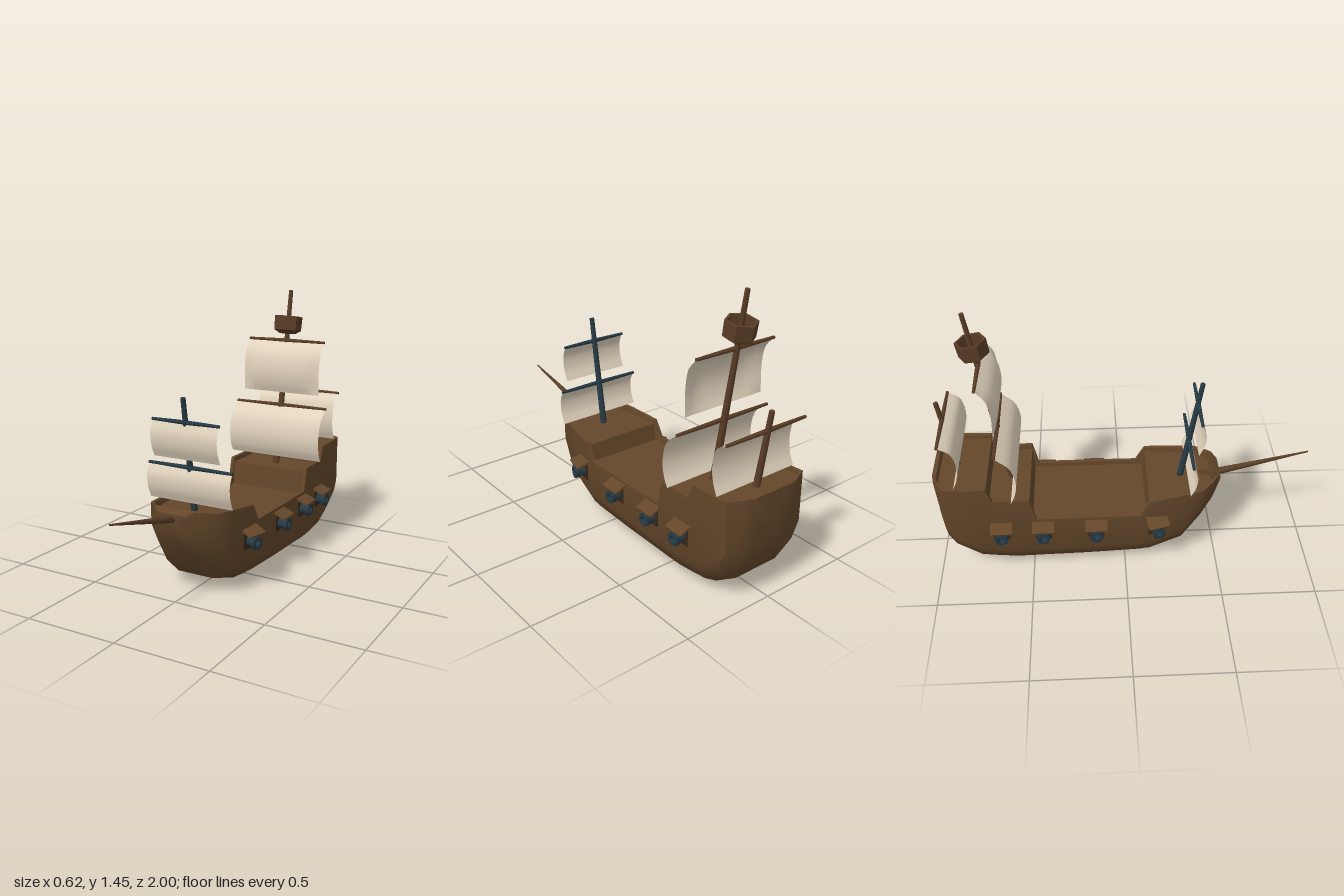
import * as THREE from 'three';
import { toCreasedNormals } from 'three/addons/utils/BufferGeometryUtils.js';

const mat = (name, color, side = THREE.FrontSide) => {
  const m = new THREE.MeshStandardMaterial({ color, side });
  m.name = name;
  return m;
};

export function createModel() {
  const wood = mat('hull wood', 0x64472a);
  const spar = mat('spar wood', 0x5a3d26);
  const shade = mat('port shade', 0x38271a);
  const iron = mat('dark slate', 0x263a44);
  const cloth = mat('sail cloth', 0xe0d2bc, THREE.DoubleSide);

  const ship = new THREE.Group();
  ship.name = 'sailingShip';
  const add = (name, geo, material, parent = ship) => {
    const m = new THREE.Mesh(geo, material);
    m.name = name;
    parent.add(m);
    return m;
  };

  // Hull stations, bow to stern: [z, keel, rail, half width, half keel width, deck]
  const stations = [
    [0.52, 0.44, 0.465, 0.08, 0.05, 0.465],
    [0.49, 0.34, 0.485, 0.115, 0.06, 0.485],
    [0.475, 0.31, 0.48, 0.135, 0.07, 0.43],
    [0.41, 0.22, 0.465, 0.195, 0.09, 0.43],
    [0.31, 0.08, 0.457, 0.215, 0.1, 0.425],
    [0.13, 0.02, 0.44, 0.24, 0.12, 0.42],
    [0.115, 0.02, 0.415, 0.24, 0.12, 0.325],
    [0.08, 0.018, 0.35, 0.243, 0.125, 0.325],
    [-0.2, 0.008, 0.35, 0.245, 0.13, 0.325],
    [-0.47, 0.002, 0.35, 0.245, 0.13, 0.325],
    [-0.49, 0.001, 0.44, 0.245, 0.13, 0.325],
    [-0.5, 0, 0.48, 0.245, 0.13, 0.455],
    [-0.6, 0, 0.48, 0.245, 0.13, 0.455],
    [-0.69, 0.01, 0.48, 0.245, 0.13, 0.455],
    [-0.71, 0.012, 0.53, 0.245, 0.13, 0.455],
    [-0.72, 0.014, 0.56, 0.245, 0.13, 0.54],
    [-0.78, 0.022, 0.56, 0.245, 0.13, 0.54],
    [-0.91, 0.11, 0.565, 0.245, 0.13, 0.545],
    [-0.945, 0.17, 0.568, 0.243, 0.13, 0.545],
    [-0.97, 0.23, 0.57, 0.19, 0.11, 0.545],
    [-0.98, 0.29, 0.57, 0.17, 0.1, 0.57],
    [-1.0, 0.42, 0.572, 0.13, 0.08, 0.572],
  ];
  const pos = [], idx = [], N = 14;
  stations.forEach(([z, k, top, w, wb, deck]) => {
    const h = Math.min(0.13, (top - k) * 0.6);
    const half = [[0, k], [wb, k], [wb + (w - wb) * 0.62, k + h * 0.35], [w, k + h],
      [w, top], [w - 0.02, top], [w - 0.022, deck], [0, deck]];
    const ring = [...half, ...half.slice(1, 7).reverse().map(([x, y]) => [-x, y])];
    ring.forEach(([x, y]) => pos.push(x, y, z));
  });
  const last = (stations.length - 1) * N;
  for (let i = 0; i < last; i += N) {
    for (let j = 0; j < N; j++) {
      const n = (j + 1) % N;
      idx.push(i + j, i + N + j, i + N + n, i + j, i + N + n, i + n);
    }
  }
  for (let j = 1; j < N - 1; j++) idx.push(0, j, j + 1, last, last + j + 1, last + j);
  const hull = new THREE.BufferGeometry();
  hull.setAttribute('position', new THREE.Float32BufferAttribute(pos, 3));
  hull.setIndex(idx);
  add('hull', toCreasedNormals(hull, 0.75), wood);

  // Tapered pole between two points on the centre plane [y, z]
  const pole = (name, [y0, z0], [y1, z1], r0, r1, material) => {
    const len = Math.hypot(y1 - y0, z1 - z0);
    const m = add(name, new THREE.CylinderGeometry(r1, r0, len, 10), material);
    m.position.set(0, (y0 + y1) / 2, (z0 + z1) / 2);
    m.rotation.x = Math.atan2(z1 - z0, y1 - y0);
    return m;
  };
  pole('bowsprit', [0.415, 0.42], [0.557, 1.0], 0.022, 0.004, spar);
  pole('foreMast', [0.41, 0.308], [1.015, 0.405], 0.018, 0.013, iron);
  const mainMast = pole('mainMast', [0.44, -0.598], [1.45, -0.765], 0.02, 0.012, spar);
  pole('mizzenMast', [0.53, -0.883], [0.943, -0.95], 0.018, 0.013, spar);

  // Crow's nest, a hollow six-sided tub
  const tub = [[0, -0.055], [0.045, -0.055], [0.078, -0.035], [0.08, 0.045],
    [0.066, 0.045], [0.062, -0.03], [0, -0.03]].map(([x, y]) => new THREE.Vector2(x, y));
  const nest = add('crowsNest', toCreasedNormals(new THREE.LatheGeometry(tub, 6), 0.3), spar);
  nest.position.set(0, 1.258, -0.732);
  nest.rotation.x = mainMast.rotation.x;

  // Sail swept along a curved side profile, hung from a yard
  const sail = (name, w, profile, material, curl = 0) => {
    const curve = new THREE.CatmullRomCurve3(profile.map(([y, z]) => new THREE.Vector3(0, y, z)));
    const geo = new THREE.PlaneGeometry(2 * w, 1, 12, 14);
    const p = geo.attributes.position;
    for (let i = 0; i < p.count; i++) {
      const t = 0.5 - p.getY(i);
      const c = curve.getPoint(t);
      const edge = THREE.MathUtils.smoothstep(Math.abs(p.getX(i)) / w, 0.6, 1);
      p.setXYZ(i, p.getX(i), c.y, c.z - curl * edge * Math.sin(Math.PI * t));
    }
    geo.computeVertexNormals();
    add(name + 'Sail', geo, cloth);
    // Yard, thickest at the mast
    [1, -1].forEach((s) => {
      const yard = add(name + 'Yard', new THREE.CylinderGeometry(0.008, 0.012, w + 0.003, 8), material);
      yard.position.set(s * w / 2, profile[0][0], profile[0][1]);
      yard.rotation.z = -s * Math.PI / 2;
    });
  };
  sail('foreUpper', 0.19, [[0.89, 0.388], [0.83, 0.41], [0.76, 0.404], [0.7, 0.378]], iron);
  sail('foreLower', 0.24, [[0.655, 0.35], [0.6, 0.373], [0.53, 0.368], [0.47, 0.342]], iron);
  sail('mainUpper', 0.238, [[1.165, -0.714], [1.1, -0.645], [1.0, -0.622], [0.92, -0.632], [0.87, -0.65]], spar, 0.025);
  sail('mainLower', 0.286, [[0.795, -0.652], [0.73, -0.58], [0.63, -0.554], [0.55, -0.566], [0.5, -0.59]], spar);
  sail('mizzen', 0.246, [[0.84, -0.93], [0.8, -0.868], [0.71, -0.846], [0.63, -0.855], [0.57, -0.88]], spar);

  // Gun ports: shaded opening, hollow barrel and raised lid
  const barrel = [[0, -0.02], [0.032, -0.02], [0.027, 0.03], [0.035, 0.036], [0.035, 0.06],
    [0.018, 0.06], [0.018, 0.02], [0, 0.02]].map(([x, y]) => new THREE.Vector2(x, y));
  const barrelGeo = toCreasedNormals(new THREE.LatheGeometry(barrel, 10), 0.7);
  const lidGeo = new THREE.BoxGeometry(0.08, 0.01, 0.115);
  const plateGeo = new THREE.BoxGeometry(0.008, 0.085, 0.085);
  [[0.165, 0.236, 0.25], [-0.155, 0.245, 0], [-0.435, 0.245, 0], [-0.655, 0.245, 0]].forEach(([z, w, yaw]) => {
    [1, -1].forEach((s) => {
      const port = new THREE.Group();
      port.name = 'gunPort';
      port.position.set(s * w, 0.26, z);
      port.rotation.y = s > 0 ? -yaw : Math.PI + yaw;
      add('portOpening', plateGeo, shade, port);
      add('cannon', barrelGeo, iron, port).rotation.z = -Math.PI / 2;
      const lid = add('portLid', lidGeo, wood, port);
      lid.position.set(0.024, 0.058, 0);
      lid.rotation.z = -0.4;
      ship.add(port);
    });
  });

  return ship;
}
